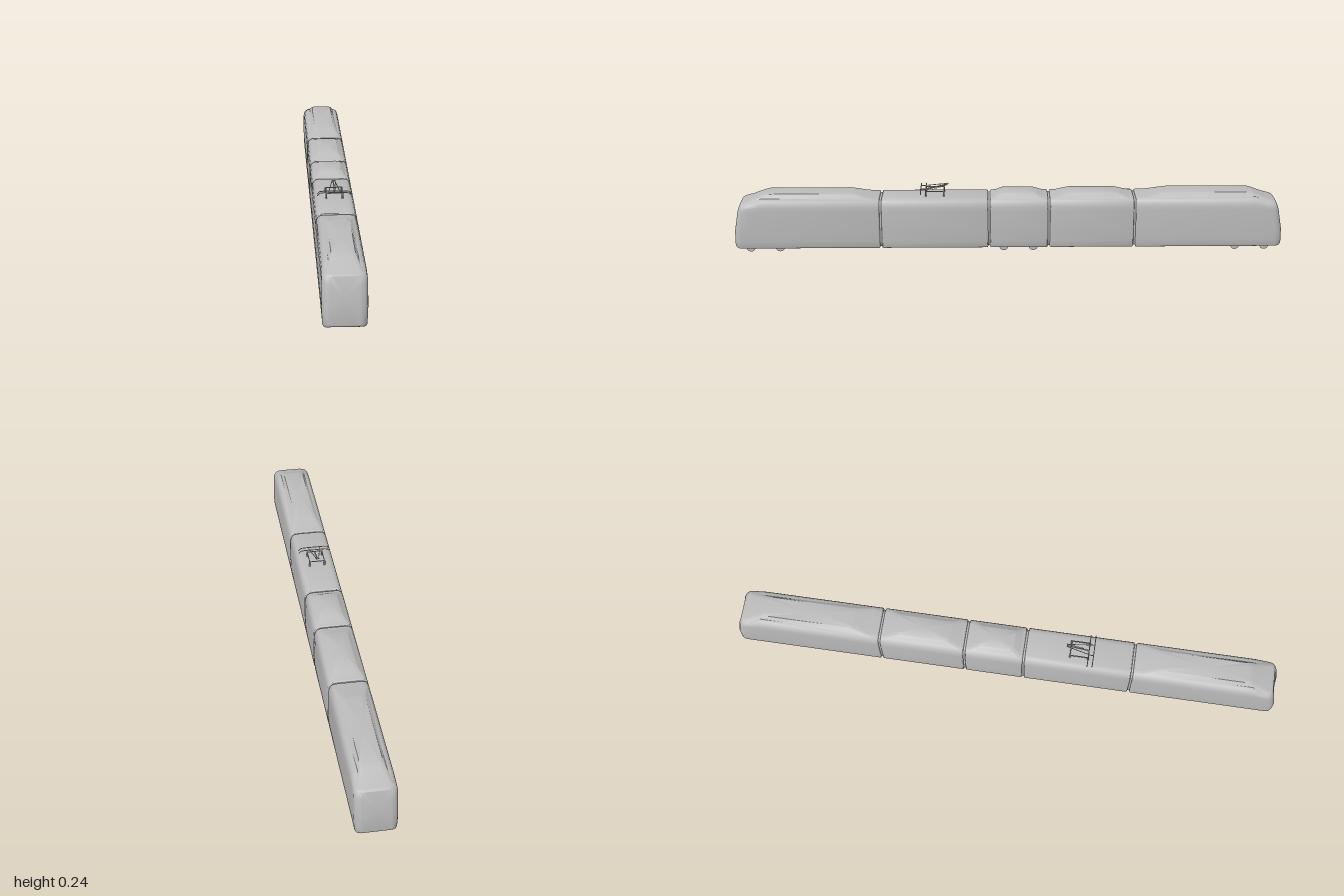
import * as THREE from 'three';
import { toCreasedNormals } from 'three/addons/utils/BufferGeometryUtils.js';

const paint = new THREE.MeshStandardMaterial({ color: 0xbcbcbc });
paint.name = 'plain grey';

const clamp = (v) => Math.min(1, Math.max(0, v));

function part(name, geometry, parent) {
  const mesh = new THREE.Mesh(geometry, paint);
  mesh.name = name;
  parent.add(mesh);
  return mesh;
}

// Skin a list of closed rings and cap both ends
function loft(rings) {
  const n = rings[0].length, pos = rings.flat(2), index = [];
  const centre = (ring) => [0, 1, 2].map((k) => ring.reduce((s, p) => s + p[k], 0) / n);
  const last = (rings.length - 1) * n, c0 = rings.length * n, c1 = c0 + 1;
  pos.push(...centre(rings[0]), ...centre(rings[rings.length - 1]));
  for (let j = 0; j < n; j++) {
    const k = (j + 1) % n;
    for (let i = 0; i < last; i += n) {
      index.push(i + j, i + k, i + n + k, i + j, i + n + k, i + n + j);
    }
    index.push(c0, k, j, c1, last + j, last + k);
  }
  const g = new THREE.BufferGeometry();
  g.setAttribute('position', new THREE.Float32BufferAttribute(pos, 3));
  g.setIndex(index);
  return toCreasedNormals(g, 0.6);
}

// Body cross-section, right half from floor to roof, then mirrored
const half = [[0.062, 0.017], [0.067, 0.019], [0.069, 0.024], [0.0705, 0.045], [0.0715, 0.08],
  [0.0715, 0.16], [0.0705, 0.176], [0.068, 0.187], [0.063, 0.196], [0.056, 0.201], [0.044, 0.203]];
const section = [...half, ...half.map(([x, y]) => [-x, y]).reverse()];

function bodyRing(z, inset = 0, insetY = inset) {
  return section.map(([x, y]) => [
    x * (1 - inset / 0.0715), 0.11 + (y - 0.11) * (1 - insetY / 0.093), z]);
}

// Body with small rounded ends; a cab also gets a raked, rounded nose
function carBody(z0, z1, cab) {
  const rings = [], steps = 6, r = 0.005;
  for (let i = 0; i <= 3; i++) {
    const a = (i / 3) * Math.PI / 2;
    rings.push(bodyRing(z0 + r * (1 - Math.sin(a)) * 1, r * (1 - Math.cos(a))));
  }
  rings.reverse();
  // rings now run from full inset at z0 outwards
  rings.forEach((ring, i) => {
    const a = (i / 3) * Math.PI / 2;
    rings[i] = bodyRing(z0 + r * (1 - Math.cos(a)), r * (1 - Math.sin(a)));
  });
  if (cab) [0.88, 0.9, 0.925, 0.95].forEach((z) => rings.push(bodyRing(z)));
  const R = cab ? 0.024 : r;
  for (let i = 0; i <= steps; i++) {
    const a = (i / steps) * Math.PI / 2, d = R * (1 - Math.cos(a));
    rings.push(bodyRing(z1 - R + R * Math.sin(a), d, cab ? d * 0.5 : d));
  }
  if (cab) {
    for (const ring of rings) for (const p of ring) {
      const drop = 0.016 * clamp((p[2] - 0.9) / 0.075);
      const rake = 0.022 * clamp((p[1] - 0.07) / 0.12) ** 1.3 * clamp((p[2] - 0.9) / 0.08);
      p[1] -= drop * clamp((p[1] - 0.16) / 0.043);
      p[2] -= rake;
    }
  }
  return loft(rings);
}

function roundedRing(w, z0, z1, r, y, frontDrop) {
  const ring = [], mid = (z0 + z1) / 2, h = (z1 - z0) / 2;
  [[1, 1], [-1, 1], [-1, -1], [1, -1]].forEach(([sx, sz], q) => {
    for (let i = 0; i <= 5; i++) {
      const a = (q + i / 5) * Math.PI / 2;
      ring.push([sx * (w - r) + r * Math.cos(a), y - (sz < 0 ? frontDrop : 0),
        mid - sz * (h - r) - r * Math.sin(a)]);
    }
  });
  return ring;
}

// Roof fairing: base and top z ranges with sloped flanks between
function fairing(b0, b1, t0, t1, frontDrop = 0) {
  const levels = [[0, 0], [0.35, 0.3], [0.75, 0.75], [0.92, 0.93], [1, 1]];
  return loft(levels.map(([t, u]) => roundedRing(0.058 - 0.02 * t,
    b0 + (t0 - b0) * t, b1 + (t1 - b1) * t, 0.016, 0.2 + 0.018 * u, frontDrop * (1 - u))));
}

function rod(name, points, radius, parent) {
  const path = new THREE.CurvePath();
  for (let i = 1; i < points.length; i++) {
    path.add(new THREE.LineCurve3(new THREE.Vector3(...points[i - 1]), new THREE.Vector3(...points[i])));
  }
  return part(name, new THREE.TubeGeometry(path, (points.length - 1) * 2, radius, 6), parent);
}

function buildPantograph() {
  const g = new THREE.Group();
  g.name = 'pantograph';
  const y = 0.222, zb = 0.236, zf = 0.302;
  // Base frame on four insulators
  for (const z of [zb, zf]) {
    rod('frameCrossbar', [[-0.03, y, z], [0.03, y, z]], 0.0018, g);
    for (const x of [-0.028, 0.028]) {
      const leg = part('insulator', new THREE.CylinderGeometry(0.003, 0.003, 0.022, 8), g);
      leg.position.set(x, 0.211, z);
    }
  }
  for (const s of [-1, 1]) {
    rod('frameRail', [[s * 0.028, y, zb], [s * 0.028, y, zf]], 0.0018, g);
    rod('upperArm', [[s * 0.004, 0.243, 0.222], [s * 0.02, 0.229, 0.31]], 0.0014, g);
  }
  rod('lowerArm', [[0, y, 0.298], [0, 0.242, 0.222]], 0.0025, g);
  rod('controlRod', [[0.006, y, 0.28], [0.006, 0.24, 0.225]], 0.001, g);
  rod('kneeJoint', [[-0.007, 0.243, 0.222], [0.007, 0.243, 0.222]], 0.002, g);
  // Collector head with drooping horns
  for (const z of [0.302, 0.32]) {
    rod('contactStrip', [[-0.06, 0.219, z], [-0.052, 0.228, z], [-0.044, 0.23, z],
      [0.044, 0.23, z], [0.052, 0.228, z], [0.06, 0.219, z]], 0.0016, g);
  }
  for (const x of [-0.02, 0.02]) rod('headLink', [[x, 0.229, 0.302], [x, 0.229, 0.32]], 0.0014, g);
  return g;
}

export function createModel() {
  const model = new THREE.Group();
  model.name = 'articulatedTram';

  // Cabs at both ends, the rear one turned round
  [['frontCab', 0.47, 0], ['rearCab', 0.463, Math.PI]].forEach(([name, start, turn]) => {
    const cab = new THREE.Group();
    cab.name = name;
    cab.rotation.y = turn;
    part('cabBody', carBody(start, 1, true), cab);
    part('cabRoofFairing', fairing(start + 0.012, 0.968, 0.565, 0.885, 0.014), cab);
    model.add(cab);
  });

  // Middle cars
  part('pantographCarBody', carBody(0.075, 0.463), model);
  part('bogieCarBody', carBody(-0.143, 0.068), model);
  part('rearMiddleCarBody', carBody(-0.456, -0.15), model);
  part('bogieCarRoofFairing', fairing(-0.14, 0.064, -0.095, 0.03), model);
  part('rearMiddleCarRoofFairing', fairing(-0.453, -0.153, -0.395, -0.21), model);

  // Gangways set back between the cars
  for (const z of [0.4665, 0.0715, -0.1465, -0.4595]) {
    part('gangway', loft([bodyRing(z - 0.006, 0.006), bodyRing(z + 0.006, 0.006)]), model);
  }

  // Wheels in three bogies
  const wheel = new THREE.CylinderGeometry(0.017, 0.017, 0.005, 20).rotateZ(Math.PI / 2);
  for (const z of [0.945, 0.838, 0.018, -0.09, -0.832, -0.94]) {
    for (const s of [-1, 1]) {
      part('wheel', wheel, model).position.set(s * 0.0455, 0.017, z);
    }
  }

  model.add(buildPantograph());
  return model;
}
